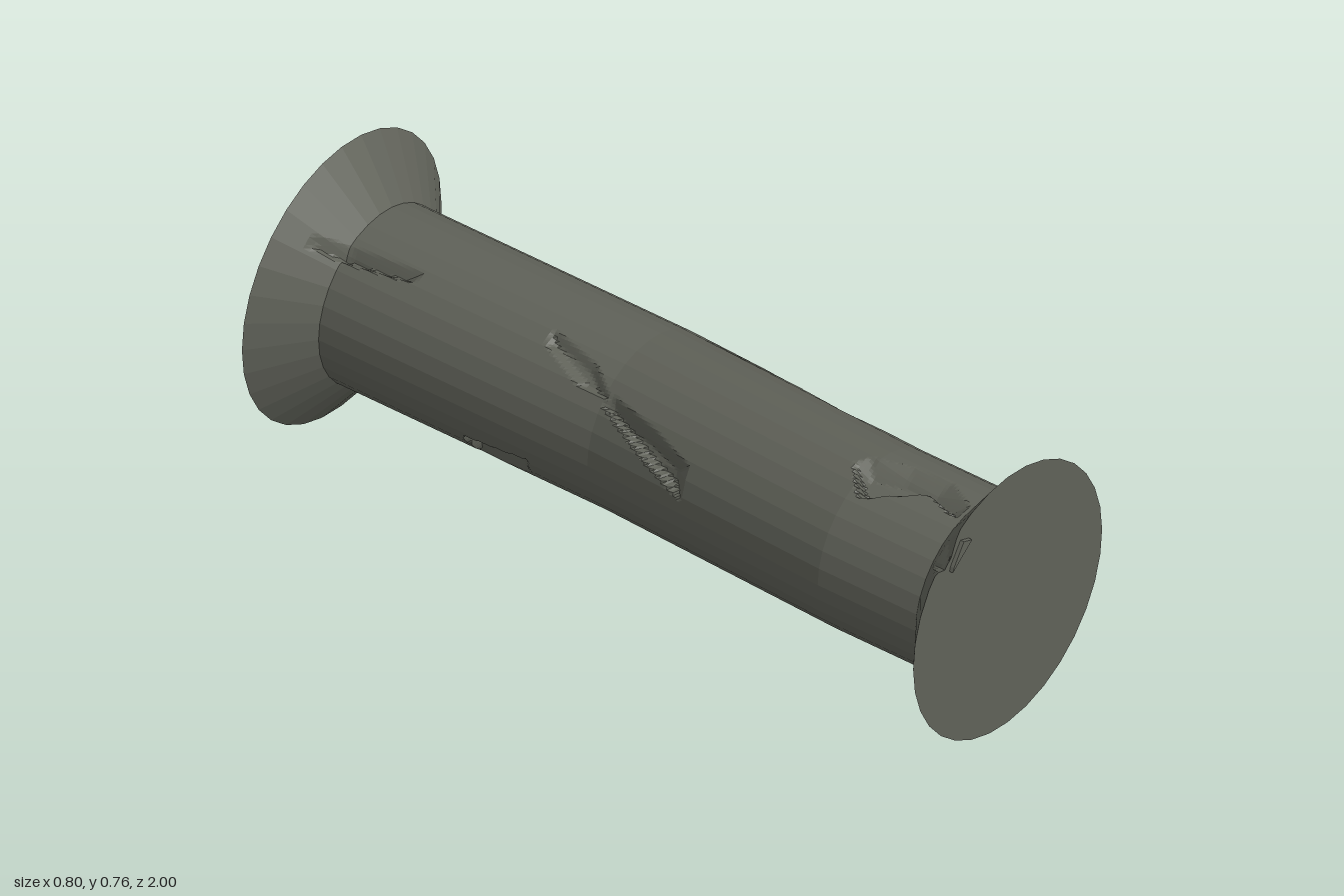
import * as THREE from 'three';

const SIDES = 32, SUB = 6, N = SIDES * SUB, R = 0.222;
const rad = THREE.MathUtils.degToRad;

// Chips and cracks as [degrees clockwise from the top, z]; the first `steep` edges are sheer walls
const chips = [
  { steep: 3, depth: 0.03, pts: [[45, 0.5], [34, 0.4], [44, 0.23], [34, -0.05], [38, -0.03], [48, 0.2], [56, 0.3], [54, 0.37]] },
  { steep: 4, depth: 0.03, pts: [[90, -0.46], [102, -0.45], [90, -0.3], [102, -0.22], [90, -0.14], [67, -0.14], [78, -0.37]] },
  { steep: 3, depth: 0.035, pts: [[-10, 0.575], [-30, 0.65], [-8, 0.79], [-16, 0.89], [-3, 0.89], [10, 0.8], [8, 0.7], [0, 0.6]] },
  { steep: 2, depth: 0.03, pts: [[-50, -0.12], [-69, 0.05], [-82, 0.18], [-59, 0.18], [-49, 0.05], [-42, -0.1]] },
  { steep: 1, depth: 0.015, pts: [[-46, -0.1], [-46, -0.2], [-33, -0.32], [-21, -0.33], [-30, -0.18]] },
  { steep: 1, depth: 0.03, pts: [[-42, -0.95], [-33, -0.7], [-24, -0.69], [-28, -0.88], [-36, -0.95]] },
  { steep: 2, depth: 0.03, pts: [[-48, 0.92], [-50, 1.01], [-29, 1.01], [-32, 0.94]] },
  { steep: 2, depth: 0.03, pts: [[160, 0.03], [175, 0.06], [178, -0.05], [162, -0.04]] },
  { steep: 2, depth: 0.03, pts: [[-110, -0.3], [-118, -0.5], [-140, -0.48], [-128, -0.32]] },
  { steep: 1, depth: 0.015, pts: [[130, 0.85], [150, 0.6], [150, 0.3], [143, 0.58]] },
].map(c => ({ ...c, pts: c.pts.map(([a, z]) => new THREE.Vector2(rad(a) * R, z)) }));

// How far the stone is broken away at an angle and z
function chipDepth(angle, z) {
  const a = angle > Math.PI ? angle - 2 * Math.PI : angle;
  const p = new THREE.Vector2(a * R, z);
  let result = 0;
  for (const { pts, steep, depth } of chips) {
    let inside = false, d = depth;
    pts.forEach((s, i) => {
      const e = pts[(i + 1) % pts.length];
      if ((s.y > z) !== (e.y > z) && p.x < s.x + (e.x - s.x) * (z - s.y) / (e.y - s.y)) inside = !inside;
      const edge = e.clone().sub(s);
      const t = THREE.MathUtils.clamp(p.clone().sub(s).dot(edge) / edge.lengthSq(), 0, 1);
      d = Math.min(d, p.distanceTo(s.clone().addScaledVector(edge, t)) * (i < steep ? 3 : 0.7));
    });
    if (inside) result = Math.max(result, d);
  }
  return result;
}

// Faceted loft through stations [z, x, y, radius], optionally closed at the back or front
function loft(stations, capBack, capFront) {
  const rows = [stations[0]];
  for (let k = 1; k < stations.length; k++) {
    const a = stations[k - 1], b = stations[k];
    const n = Math.max(1, Math.round((b[0] - a[0]) / 0.01));
    for (let j = 1; j <= n; j++) rows.push(a.map((v, m) => v + (b[m] - v) * j / n));
  }
  const pos = [], idx = [], step = 2 * Math.PI / SIDES;
  for (const [z, x, y, r] of rows) {
    for (let i = 0; i < N; i++) {
      const a = i / N * 2 * Math.PI;
      const local = (i % SUB) / SUB * step - step / 2;
      const q = r * Math.cos(step / 2) / Math.cos(local) - chipDepth(a, z);
      pos.push(x + q * Math.sin(a), y + q * Math.cos(a), z);
    }
  }
  for (let j = 0; j < rows.length - 1; j++) {
    for (let i = 0; i < N; i++) {
      const n = (i + 1) % N, a = j * N, b = a + N;
      idx.push(a + i, b + i, b + n, a + i, b + n, a + n);
    }
  }
  const cap = (row, front) => {
    const [z, x, y] = rows[row], centre = pos.length / 3;
    pos.push(x, y, z);
    for (let i = 0; i < N; i++) {
      const a = row * N + i, b = row * N + (i + 1) % N;
      idx.push(centre, front ? b : a, front ? a : b);
    }
  };
  if (capBack) cap(0, false);
  if (capFront) cap(rows.length - 1, true);
  const geo = new THREE.BufferGeometry();
  geo.setAttribute('position', new THREE.Float32BufferAttribute(pos, 3));
  geo.setIndex(idx);
  const flat = geo.toNonIndexed();
  flat.computeVertexNormals();
  return flat;
}

export function createModel() {
  const group = new THREE.Group();
  group.name = 'fallenColumn';
  const stone = new THREE.MeshStandardMaterial({ color: 0x5f6158, flatShading: true });
  stone.name = 'dark stone';
  const add = (name, geo) => {
    const mesh = new THREE.Mesh(geo, stone);
    mesh.name = name;
    group.add(mesh);
  };

  // Flared ends and the offset shaft between them
  add('backFlare', loft([[-1, 0.04, 0.36, 0.36], [-0.89, 0.04, 0.36, R]], true, false));
  add('shaft', loft([
    [-0.89, 0.04, 0.36, R], [-0.12, 0.04, 0.36, R],
    [0.62, -0.06, 0.423, R], [0.9, -0.06, 0.423, R],
  ], false, false));
  add('frontFlare', loft([[0.9, -0.06, 0.423, R], [0.988, -0.06, 0.423, 0.341]], false, true));

  // Splinter standing proud of the front face
  const shard = new THREE.Shape([[-0.27, 0.622], [-0.2, 0.675], [-0.23, 0.686], [-0.266, 0.634]]
    .map(([x, y]) => new THREE.Vector2(x, y)));
  const shardGeo = new THREE.ExtrudeGeometry(shard, { depth: 0.02, bevelEnabled: false });
  shardGeo.translate(0, 0, 0.978);
  add('frontShard', shardGeo);
  return group;
}
